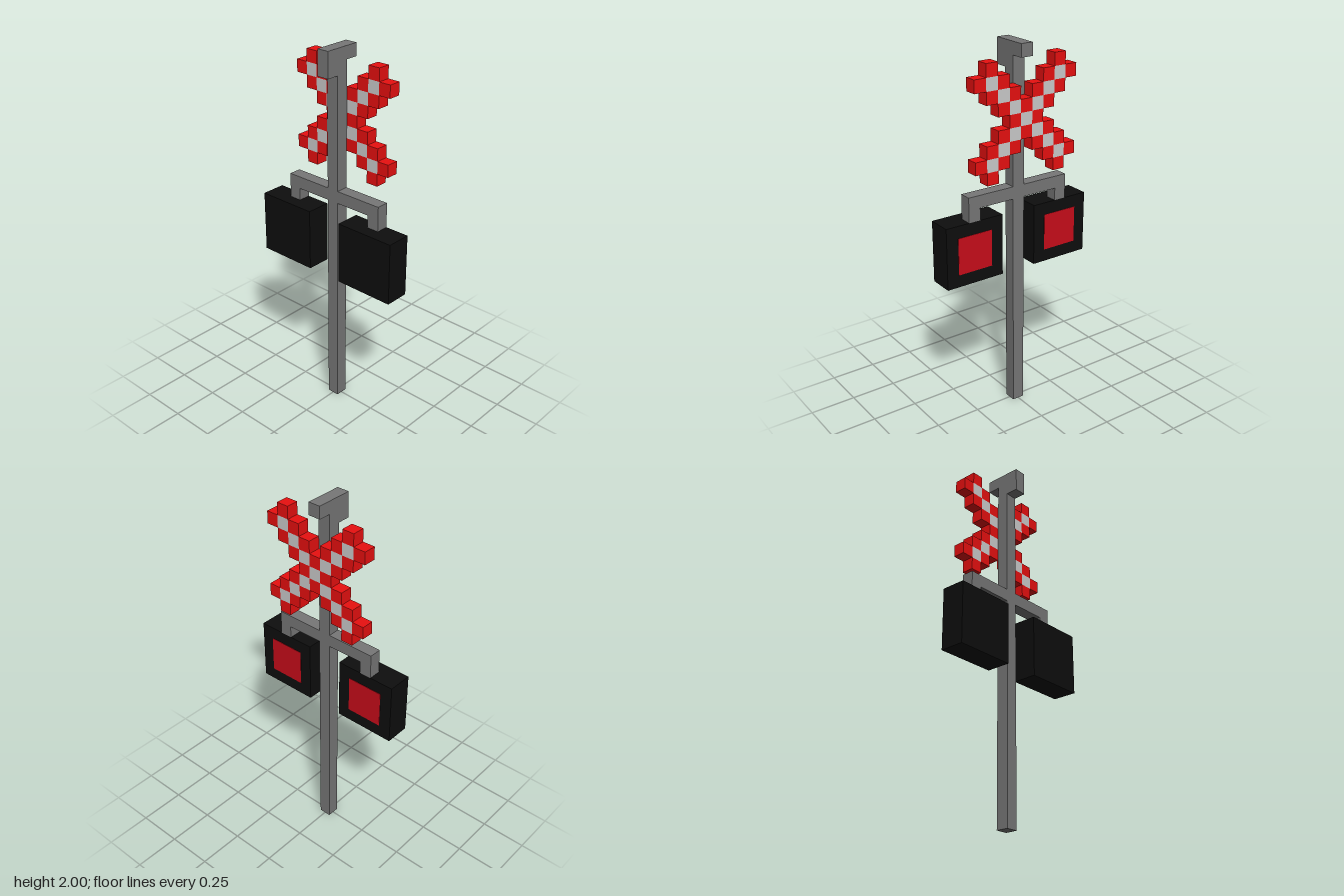
import * as THREE from 'three';

const U = 1 / 15; // edge of one block; all sizes below are in blocks

const material = (color) => new THREE.MeshStandardMaterial({ color, flatShading: true });

export function createModel() {
  const model = new THREE.Group();
  const steel = material(0x777777);
  const pale = material(0xcccccc);
  const red = material(0xe81010);
  const lampRed = material(0xc80c1a);
  const black = material(0x0e0e0e);

  // Box given by its minimum and maximum corners
  function block(parent, name, mat, [x0, y0, z0], [x1, y1, z1]) {
    const geometry = new THREE.BoxGeometry((x1 - x0) * U, (y1 - y0) * U, (z1 - z0) * U);
    const mesh = new THREE.Mesh(geometry, mat);
    mesh.position.set((x0 + x1) / 2, (y0 + y1) / 2, (z0 + z1) / 2).multiplyScalar(U);
    mesh.name = name;
    parent.add(mesh);
  }

  // Post with its hooked cap
  block(model, 'post', steel, [-0.5, 0, -0.5], [0.5, 29, 0.5]);
  block(model, 'capBar', steel, [-0.5, 29, -1.5], [0.5, 30, 1.5]);
  block(model, 'capHook', steel, [-0.5, 28, 0.5], [0.5, 29, 1.5]);

  // Crossed sign: pale diagonals edged with red blocks
  const sign = new THREE.Group();
  sign.name = 'crossedSign';
  model.add(sign);
  for (let row = -4; row <= 4; row++) {
    for (let col = -4; col <= 4; col++) {
      const offset = Math.abs(Math.abs(row) - Math.abs(col));
      if (offset > 1 || (offset === 0 && Math.abs(row) === 4)) continue;
      block(sign, offset ? 'signEdge' : 'signCore', offset ? red : pale,
        [col - 0.5, row + 24, -1.5], [col + 0.5, row + 25, -0.5]);
    }
  }

  // Lamp arms, housings and lenses on both sides
  for (const [side, s] of [['left', 1], ['right', -1]]) {
    const lamp = new THREE.Group();
    lamp.name = side + 'Lamp';
    model.add(lamp);
    const part = (name, mat, x0, x1, y0, y1, z0, z1) =>
      block(lamp, name, mat, [Math.min(s * x0, s * x1), y0, z0], [Math.max(s * x0, s * x1), y1, z1]);
    part('arm', steel, 0.5, 4.5, 18, 19, -0.5, 0.5);
    part('hanger', steel, 3.5, 4.5, 17, 18, -0.5, 0.5);
    part('housing', black, 1.5, 6.5, 12, 17, -0.5, 1.5);
    part('lens', lampRed, 2.5, 5.5, 13, 16, -0.53, -0.4);
  }

  return model;
}
